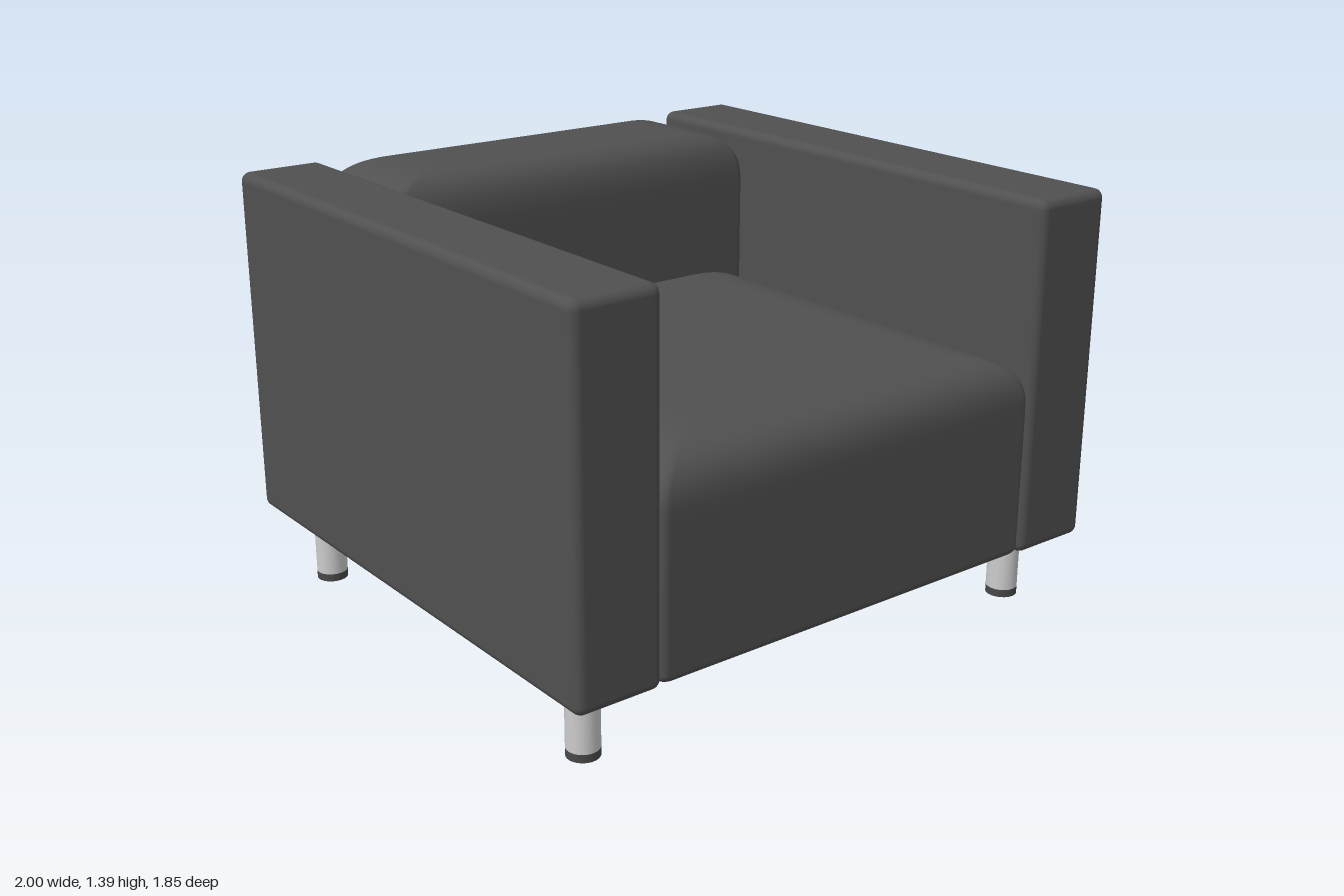
import * as THREE from 'three';
import { RoundedBoxGeometry } from 'three/addons/geometries/RoundedBoxGeometry.js';

// Cushion lofted from rounded-rectangle rings: small bottom edge, soft crowned top.
// Insets say how far the top rounding reaches in from each side.
function cushionGeometry({ halfWidth, bottom, top, back, front, side, backInset, frontInset, drop }) {
  const r = 0.03, cornerSteps = 6, crownSteps = 20, power = 3;
  const levels = []; // [y, side inset, back inset, front inset]
  for (let i = 0; i <= 6; i++) {
    const a = (i / 6) * Math.PI / 2;
    const inset = r * (1 - Math.sin(a));
    levels.push([bottom + r * (1 - Math.cos(a)), inset, inset, inset]);
  }
  for (let i = 0; i <= crownSteps; i++) {
    const a = (i / crownSteps) * Math.PI / 2;
    const k = 1 - Math.pow(Math.max(Math.cos(a), 0), 2 / power);
    const y = top - drop * (1 - Math.pow(Math.sin(a), 2 / power));
    levels.push([y, side * k, backInset * k, frontInset * k]);
  }

  const positions = [], index = [];
  const n = 4 * (cornerSteps + 1);
  for (const [y, s, b, f] of levels) {
    const w = halfWidth - s - r, z0 = back + b + r, z1 = front - f - r;
    const corners = [[w, z1], [-w, z1], [-w, z0], [w, z0]];
    corners.forEach(([cx, cz], q) => {
      for (let j = 0; j <= cornerSteps; j++) {
        const a = (q + j / cornerSteps) * Math.PI / 2;
        positions.push(cx + r * Math.cos(a), y, cz + r * Math.sin(a));
      }
    });
  }
  const last = (levels.length - 1) * n;
  const bottomCentre = levels.length * n, topCentre = bottomCentre + 1;
  positions.push(0, bottom, (back + front) / 2);
  positions.push(0, top, (back + backInset + front - frontInset) / 2);
  for (let j = 0; j < n; j++) {
    const k = (j + 1) % n;
    for (let i = 0; i < last; i += n) {
      index.push(i + j, i + n + j, i + k, i + k, i + n + j, i + n + k);
    }
    index.push(bottomCentre, j, k, topCentre, last + k, last + j);
  }

  const geometry = new THREE.BufferGeometry();
  geometry.setAttribute('position', new THREE.Float32BufferAttribute(positions, 3));
  geometry.setIndex(index);
  geometry.computeVertexNormals();
  return geometry;
}

export function createModel() {
  const model = new THREE.Group();
  model.name = 'armchair';

  const material = (name, color) => {
    const m = new THREE.MeshStandardMaterial({ color });
    m.name = name;
    return m;
  };
  const fabric = material('charcoal fabric', 0x505050);
  const metal = material('brushed metal', 0xcccccc);
  const rubber = material('dark rubber', 0x484848);

  const add = (name, geometry, mat, x = 0, y = 0, z = 0) => {
    const mesh = new THREE.Mesh(geometry, mat);
    mesh.name = name;
    mesh.position.set(x, y, z);
    model.add(mesh);
  };

  // Seat and backrest
  add('seat', cushionGeometry({
    halfWidth: 0.719, bottom: 0.237, top: 0.905, back: -0.46, front: 0.92,
    side: 0.3, backInset: 0.04, frontInset: 0.25, drop: 0.19,
  }), fabric);
  add('backrest', cushionGeometry({
    halfWidth: 0.717, bottom: 0.237, top: 1.39, back: -0.925, front: -0.458,
    side: 0.3, backInset: 0.13, frontInset: 0.17, drop: 0.2,
  }), fabric);

  // Arms, legs and foot caps
  const arm = new RoundedBoxGeometry(0.286, 1.15, 1.85, 5, 0.03);
  const leg = new THREE.CylinderGeometry(0.051, 0.051, 0.225, 32);
  const foot = new THREE.CylinderGeometry(0.051, 0.051, 0.026, 32);
  for (const [sideName, sx] of [['left', 1], ['right', -1]]) {
    add(sideName + 'Arm', arm, fabric, sx * 0.857, 0.811, 0);
    for (const [endName, sz] of [['Front', 1], ['Back', -1]]) {
      add(sideName + endName + 'Leg', leg, metal, sx * 0.855, 0.1385, sz * 0.738);
      add(sideName + endName + 'Foot', foot, rubber, sx * 0.855, 0.013, sz * 0.738);
    }
  }
  return model;
}
